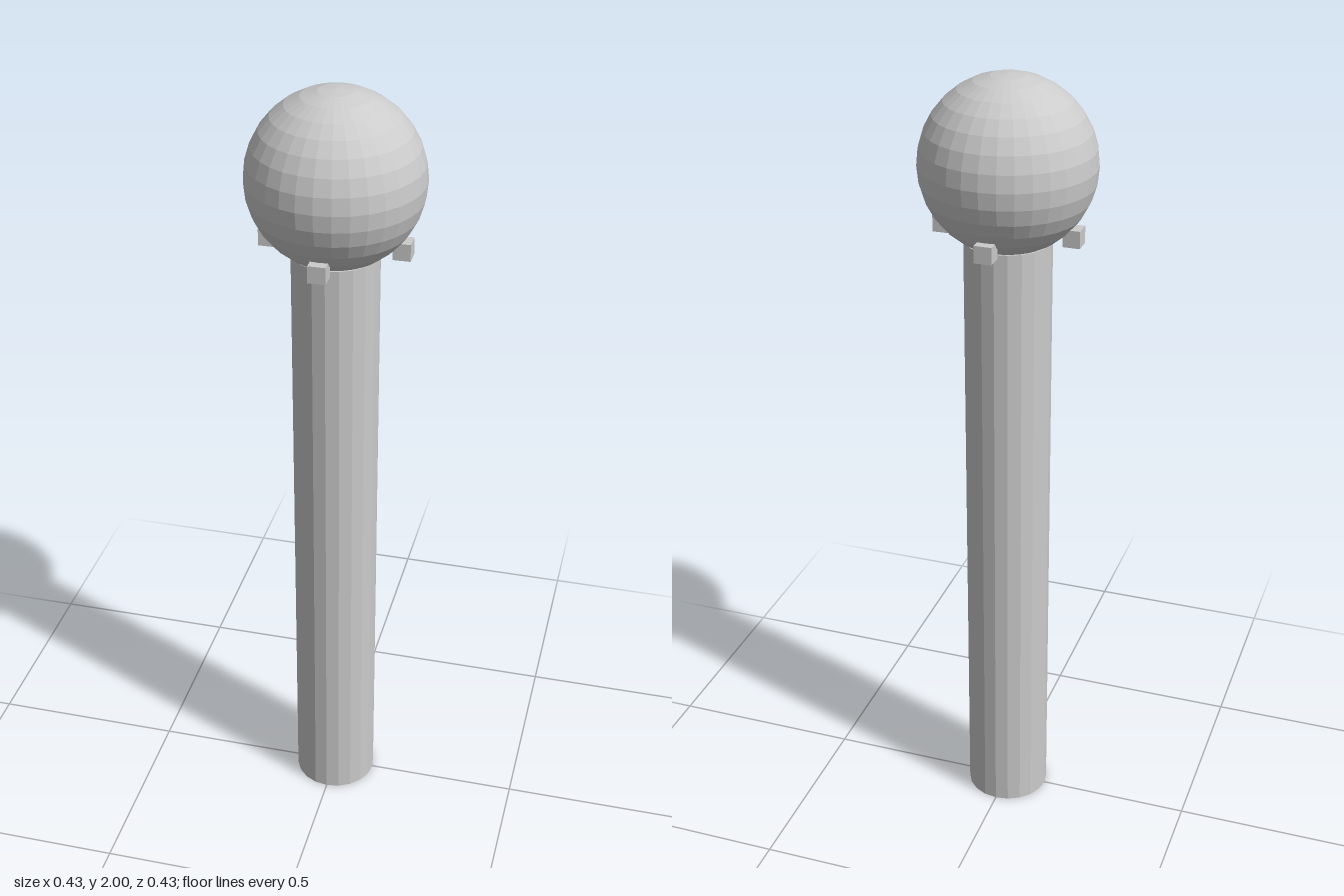
import * as THREE from 'three';

export function createModel() {
  const model = new THREE.Group();
  const material = new THREE.MeshStandardMaterial({ color: 0xcccccc, flatShading: true });

  const add = (name, geometry, x, y, z) => {
    const mesh = new THREE.Mesh(geometry, material);
    mesh.name = name;
    mesh.position.set(x, y, z);
    model.add(mesh);
  };

  const unit = 1.6 / 15; // shaft radius

  // Tall round shaft
  add('shaft', new THREE.CylinderGeometry(unit, unit, 15 * unit, 20), 0, 7.5 * unit, 0);

  // Ball resting on the shaft
  add('ball', new THREE.SphereGeometry(2 * unit, 32, 16), 0, 2 - 2 * unit, 0);

  // Four small studs around the underside of the ball
  const stud = new THREE.BoxGeometry(0.4 * unit, 0.4 * unit, 0.4 * unit);
  const sides = [['left', 1, 0], ['right', -1, 0], ['front', 0, 1], ['back', 0, -1]];
  for (const [side, x, z] of sides) {
    add(side + 'Stud', stud, x * 1.52 * unit, 15.25 * unit, z * 1.52 * unit);
  }

  return model;
}
